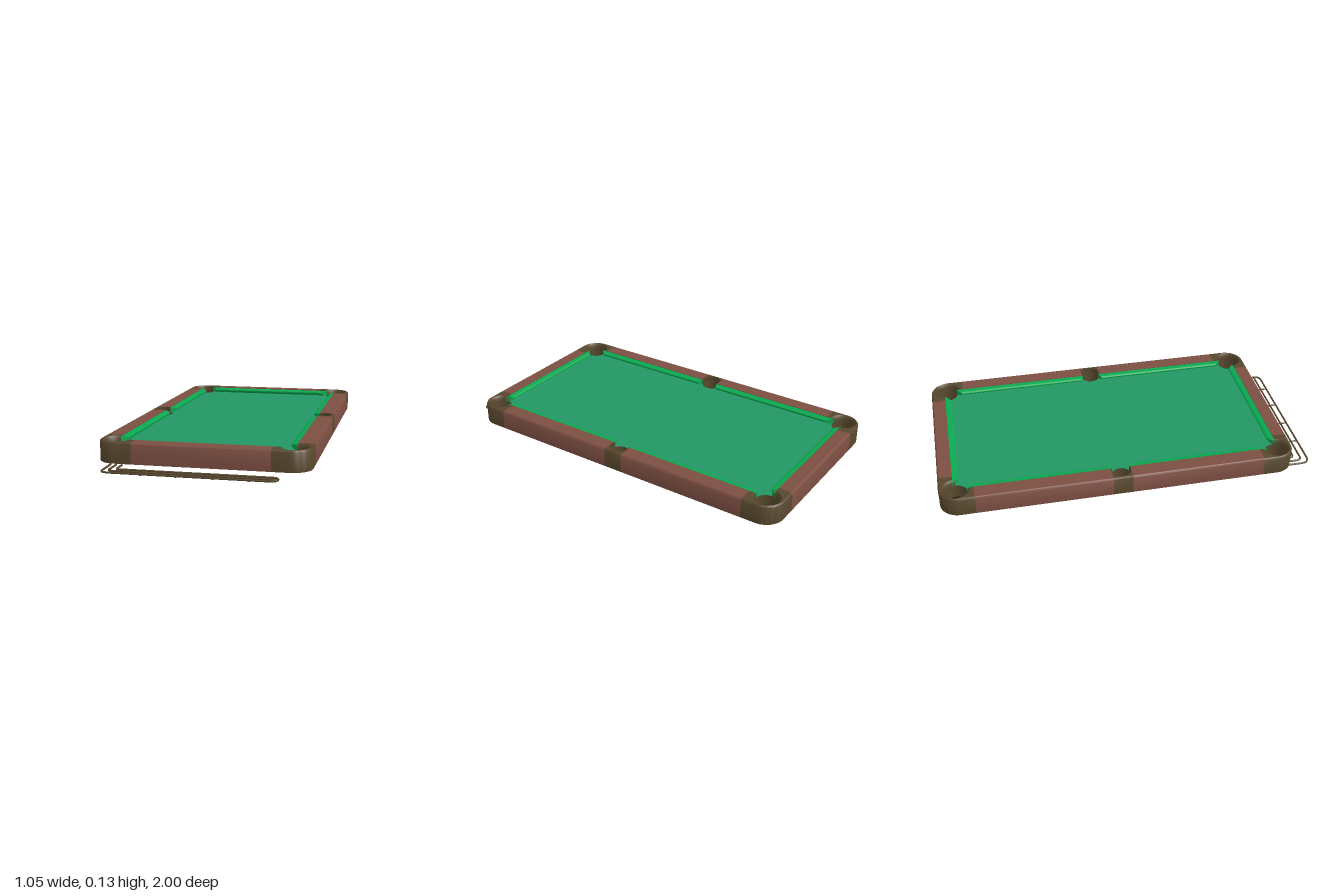
import * as THREE from 'three';
import { toCreasedNormals } from 'three/addons/utils/BufferGeometryUtils.js';
import { ConvexGeometry } from 'three/addons/geometries/ConvexGeometry.js';

const PI = Math.PI;
const W = 0.525, L = 0.9425;            // half width and half length of the table
const IN_X = 0.44, IN_Z = 0.8675;       // inner edges of the rails
const TOP = 0.13, CLOTH = 0.1, BOTTOM = 0.025, BEVEL = 0.008;
const CORNER = { x: 0.44, z: 0.855, r: 0.06 };
const SIDE = { x: 0.462, z: 0, r: 0.05 };
const JAW = Math.sqrt(SIDE.r ** 2 - (SIDE.x - IN_X) ** 2); // half opening of a side pocket
const JAW_ANGLE = Math.atan2(JAW, SIDE.x - IN_X);

const mat = (name, color) => {
  const m = new THREE.MeshStandardMaterial({ color, side: THREE.DoubleSide });
  m.name = name;
  return m;
};

// Plan shape (x, z) extruded downward from y = top
function slab(shape, top, depth) {
  const g = new THREE.ExtrudeGeometry(shape, { depth, bevelEnabled: false, curveSegments: 24 });
  return g.rotateX(PI / 2).translate(0, top, 0);
}

const plan = (pts) => new THREE.Shape(pts.map(([x, y]) => new THREE.Vector2(x, y)));

// Mirror a geometry across x and/or z, keeping faces outward
function mirrored(geo, sx, sz) {
  const g = geo.index ? geo.toNonIndexed() : geo.clone();
  g.scale(sx, 1, sz);
  if (sx * sz < 0) {
    for (const a of Object.values(g.attributes)) {
      const n = a.itemSize;
      for (let i = 0; i < a.count; i += 3) {
        for (let k = 0; k < n; k++) {
          const p = (i + 1) * n + k, q = (i + 2) * n + k;
          [a.array[p], a.array[q]] = [a.array[q], a.array[p]];
        }
      }
    }
  }
  return g;
}

// Outer skirt: a thin wall with a bevelled top, swept along [x, z, nx, nz]
function skirt(path) {
  const profile = [[0.012, CLOTH], [0.012, BOTTOM], [0, BOTTOM], [0, TOP - BEVEL], [0.003, TOP - 0.003], [BEVEL, TOP]];
  const pos = [], idx = [], n = profile.length;
  for (const [x, z, nx, nz] of path)
    for (const [d, y] of profile) pos.push(x - nx * d, y, z - nz * d);
  for (let i = 0; i < path.length - 1; i++)
    for (let j = 0; j < n - 1; j++) {
      const a = i * n + j, b = a + n;
      idx.push(a, b, a + 1, b, b + 1, a + 1);
    }
  const g = new THREE.BufferGeometry();
  g.setAttribute('position', new THREE.Float32BufferAttribute(pos, 3));
  g.setIndex(idx);
  return toCreasedNormals(g, 0.6);
}

// Cushion: wedge with an undercut nose and slanted ends; place(u, d) gives [x, z]
function cushion(u0, u1, slant0, slant1, place) {
  const section = [[0, CLOTH], [0, 0.128], [0.024, 0.125], [0.032, 0.12], [0.032, 0.114], [0.014, CLOTH]];
  const pts = [];
  for (const [d, y] of section)
    for (const u of [u0 + slant0 * d, u1 - slant1 * d]) {
      const [x, z] = place(u, d);
      pts.push(new THREE.Vector3(x, y, z));
    }
  return new ConvexGeometry(pts);
}

export function createModel() {
  const wood = mat('redWood', 0x7c4e42);
  const brass = mat('darkBronze', 0x57472d);
  const felt = mat('tableFelt', 0x229663);
  const cushionFelt = mat('cushionFelt', 0x09a850);
  const hole = mat('pocketDark', 0x280e0f);

  const model = new THREE.Group();
  model.name = 'poolTable';
  const table = new THREE.Group();
  table.name = 'table';
  table.position.z = -0.0575;
  model.add(table);
  const add = (name, geo, material, parent = table) => {
    const m = new THREE.Mesh(geo, material);
    m.name = name;
    parent.add(m);
  };

  // Playing surface with pocket notches
  const bed = new THREE.Shape();
  const { x: cx, z: cz, r: cr } = CORNER;
  bed.moveTo(cx, cr - cz);
  bed.lineTo(IN_X, -JAW);
  bed.absarc(SIDE.x, 0, SIDE.r, PI + JAW_ANGLE, PI - JAW_ANGLE, true);
  bed.absarc(cx, cz, cr, -PI / 2, -PI, true);
  bed.absarc(-cx, cz, cr, 0, -PI / 2, true);
  bed.absarc(-SIDE.x, 0, SIDE.r, JAW_ANGLE, -JAW_ANGLE, true);
  bed.absarc(-cx, -cz, cr, PI / 2, 0, true);
  bed.absarc(cx, -cz, cr, PI, PI / 2, true);
  add('playingSurface', slab(bed, CLOTH + 0.001, 0.008), felt);

  // Corner casting: top plate around the pocket and rounded skirt
  const rim = 0.072, ex = 0.34, ez = 0.7625, R = 0.1;
  const plate = new THREE.Shape();
  plate.moveTo(ex, IN_Z);
  plate.lineTo(cx - Math.sqrt(rim ** 2 - (IN_Z - cz) ** 2), IN_Z);
  plate.absarc(cx, cz, rim, PI - Math.asin((IN_Z - cz) / rim), -PI / 2, true);
  plate.lineTo(IN_X, ez);
  plate.lineTo(W - BEVEL, ez);
  plate.absarc(W - R, L - R, R - BEVEL, 0, PI / 2, false);
  plate.lineTo(ex, L - BEVEL);
  const cornerPlate = slab(plate, TOP, TOP - CLOTH);
  const path = [[ex, L, 0, 1]];
  for (let i = 0; i <= 16; i++) {
    const a = PI / 2 * (1 - i / 16), c = Math.cos(a), s = Math.sin(a);
    path.push([W - R + R * c, L - R + R * s, c, s]);
  }
  path.push([W, ez, 1, 0]);
  const cornerSkirt = skirt(path);

  // Pocket: sloped collar above the cloth, tapered cup below it
  const collar = (p, lip, start, length) => new THREE.LatheGeometry([
    new THREE.Vector2(p.r, CLOTH - 0.008), new THREE.Vector2(p.r, TOP - 0.014), new THREE.Vector2(lip, TOP),
  ], 36, start, length).translate(p.x, 0, p.z);
  const cup = (p) => new THREE.CylinderGeometry(p.r, p.r * 0.88, 0.073, 32, 1, true)
    .translate(p.x, BOTTOM + 0.0385, p.z);
  const base = (p) => new THREE.CylinderGeometry(p.r * 0.88, p.r * 0.88, 0.004, 32)
    .translate(p.x, BOTTOM + 0.003, p.z);

  const cornerCollar = collar(CORNER, rim, -PI / 2, 1.5 * PI);
  const sideCushion = cushion(0.048, 0.8, 0.4, 1, (u, d) => [IN_X - d, u]);
  const sideRail = slab(plan([[IN_X, 0.0525], [W - BEVEL, 0.0525], [W - BEVEL, ez], [IN_X, ez]]), TOP, TOP - CLOTH);
  const sideSkirt = skirt([[W, ez, 1, 0], [W, 0.0525, 1, 0]]);
  for (const sx of [1, -1])
    for (const sz of [1, -1]) {
      const put = (name, geo, m) => add(name, mirrored(geo, sx, sz), m);
      put('cornerPlate', cornerPlate, brass);
      put('cornerSkirt', cornerSkirt, brass);
      put('cornerCollar', cornerCollar, brass);
      put('cornerCup', cup(CORNER), brass);
      put('cornerPocketBase', base(CORNER), hole);
      put('sideRail', sideRail, wood);
      put('sideSkirt', sideSkirt, wood);
      put('sideCushion', sideCushion, cushionFelt);
    }

  // Side pockets
  const mid = new THREE.Shape();
  mid.moveTo(IN_X, -0.0525);
  mid.lineTo(W - BEVEL, -0.0525);
  mid.lineTo(W - BEVEL, 0.0525);
  mid.lineTo(IN_X, 0.0525);
  mid.lineTo(IN_X, JAW);
  mid.absarc(SIDE.x, 0, SIDE.r, PI - JAW_ANGLE, JAW_ANGLE - PI, true);
  const midPlate = slab(mid, TOP, TOP - CLOTH);
  const midSkirt = skirt([[W, 0.0525, 1, 0], [W, -0.0525, 1, 0]]);
  for (const sx of [1, -1]) {
    add('sidePocketPlate', mirrored(midPlate, sx, 1), brass);
    add('sidePocketSkirt', mirrored(midSkirt, sx, 1), brass);
    add('sidePocketCup', mirrored(cup(SIDE), sx, 1), brass);
    add('sidePocketBase', mirrored(base(SIDE), sx, 1), hole);
  }

  // End rails and cushions
  const endRail = slab(plan([[-ex, IN_Z], [ex, IN_Z], [ex, L - BEVEL], [-ex, L - BEVEL]]), TOP, TOP - CLOTH);
  const endSkirt = skirt([[-ex, L, 0, 1], [ex, L, 0, 1]]);
  const endCushion = cushion(-0.385, 0.385, 1, 1, (u, d) => [u, IN_Z - d]);
  for (const sz of [1, -1]) {
    add('endRail', mirrored(endRail, 1, sz), wood);
    add('endSkirt', mirrored(endSkirt, 1, sz), wood);
    add('endCushion', mirrored(endCushion, 1, sz), cushionFelt);
  }

  // Ball return rack of bent rods in front of the table
  const rack = new THREE.Group();
  rack.name = 'ballReturnRack';
  model.add(rack);
  const v = (x, z) => new THREE.Vector3(x, 0.009, z);
  const rod = (name, parts) => {
    const c = new THREE.CurvePath();
    for (const p of parts)
      c.add(p.length === 2 ? new THREE.LineCurve3(...p) : new THREE.QuadraticBezierCurve3(...p));
    add(name, new THREE.TubeGeometry(c, 120, 0.005, 8), brass, rack);
  };
  rod('outerRod', [
    [v(-0.46, 0.84), v(-0.46, 0.95)], [v(-0.46, 0.95), v(-0.46, 0.995), v(-0.415, 0.995)],
    [v(-0.415, 0.995), v(0.355, 0.995)], [v(0.355, 0.995), v(0.388, 0.995), v(0.388, 0.96)],
    [v(0.388, 0.96), v(0.388, 0.925), v(0.355, 0.925)], [v(0.355, 0.925), v(-0.385, 0.925)],
    [v(-0.385, 0.925), v(-0.402, 0.925), v(-0.402, 0.908)], [v(-0.402, 0.908), v(-0.402, 0.84)],
  ]);
  rod('middleRod', [
    [v(-0.432, 0.84), v(-0.432, 0.93)], [v(-0.432, 0.93), v(-0.432, 0.96), v(-0.402, 0.96)],
    [v(-0.402, 0.96), v(0.385, 0.96)],
  ]);
  for (const x of [-0.26, -0.09, 0.09, 0.26])
    add('crossBar', new THREE.CylinderGeometry(0.004, 0.004, 0.07, 8).rotateX(PI / 2).translate(x, 0.004, 0.96), brass, rack);

  return model;
}
